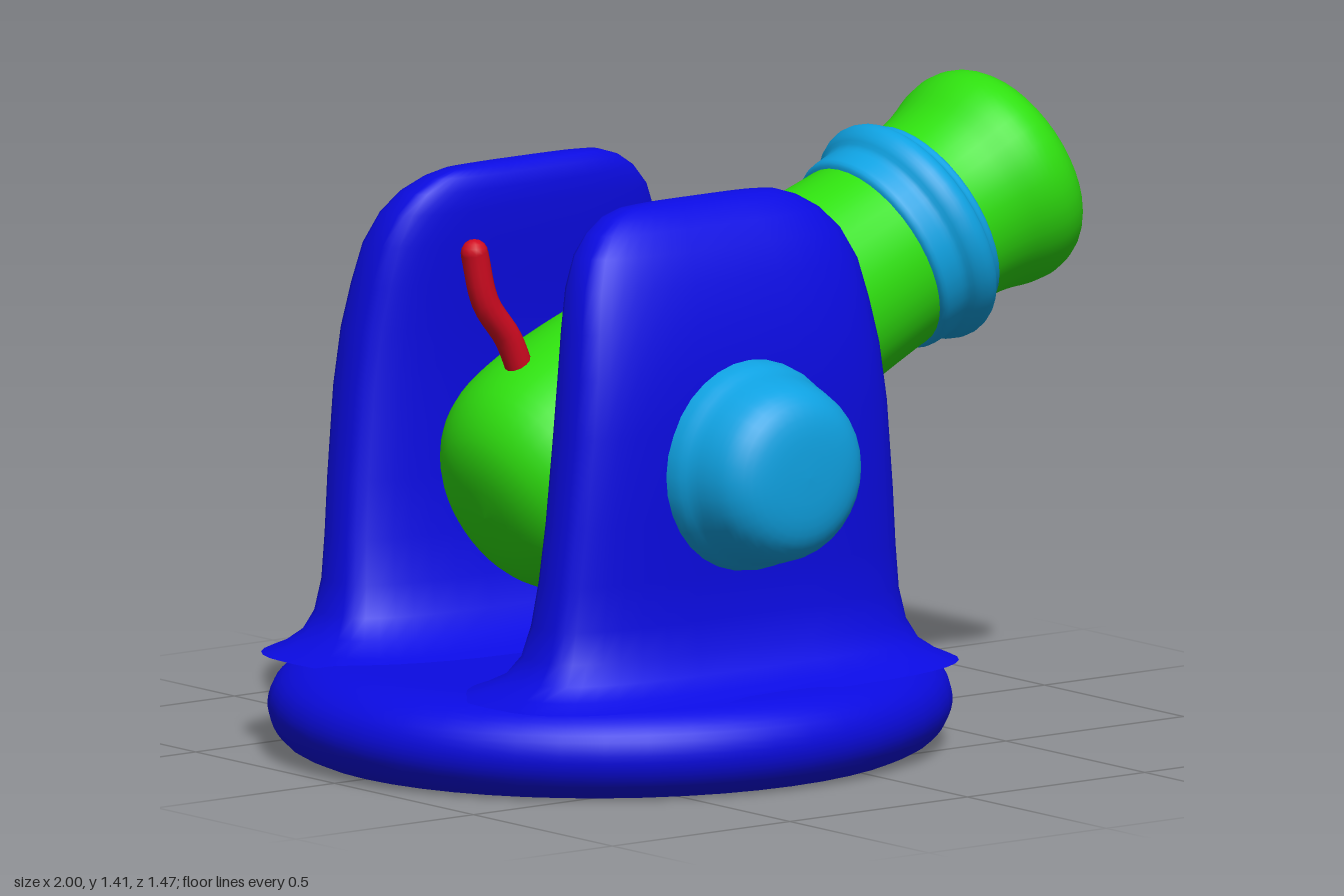
import * as THREE from 'three';

const mat = (name, color, side = THREE.FrontSide) => {
  const m = new THREE.MeshStandardMaterial({ color, side });
  m.name = name;
  return m;
};

// Smooth catmull-rom lathe through [radius, height] points
function lathe(points, segments = 40, samples = 3) {
  const curve = new THREE.SplineCurve(points.map(([r, y]) => new THREE.Vector2(r, y)));
  const profile = curve.getPoints((points.length - 1) * samples);
  profile.forEach(p => { p.x = Math.max(p.x, 0); });
  return new THREE.LatheGeometry(profile, segments);
}

// Stacked rounded-rectangle sections: [y, halfWidth, zInner, zOuter]
function loft(rows, segments = 40, power = 3.2) {
  const pos = [], index = [];
  const soft = v => Math.sign(v) * Math.abs(v) ** (2 / power);
  for (const [y, hw, z0, z1] of rows) {
    for (let i = 0; i < segments; i++) {
      const a = (i / segments) * Math.PI * 2;
      pos.push(hw * soft(Math.cos(a)), y, (z0 + z1) / 2 - ((z1 - z0) / 2) * soft(Math.sin(a)));
    }
  }
  for (let r = 0; r < rows.length - 1; r++) {
    for (let i = 0; i < segments; i++) {
      const a = r * segments + i, b = r * segments + (i + 1) % segments;
      index.push(a, b, b + segments, a, b + segments, a + segments);
    }
  }
  // Top cap
  const [y, , z0, z1] = rows[rows.length - 1];
  const start = (rows.length - 1) * segments, centre = rows.length * segments;
  pos.push(0, y + 0.003, (z0 + z1) / 2);
  for (let i = 0; i < segments; i++) index.push(centre, start + i, start + (i + 1) % segments);
  const geo = new THREE.BufferGeometry();
  geo.setAttribute('position', new THREE.Float32BufferAttribute(pos, 3));
  geo.setIndex(index);
  geo.computeVertexNormals();
  return geo;
}

export function createModel() {
  const blue = mat('mount blue', 0x0b0be2);
  const green = mat('barrel green', 0x2fe00f);
  const cyan = mat('trim cyan', 0x0fa2e2);
  const red = mat('fuse red', 0xd00a20);

  const model = new THREE.Group();
  const add = (parent, name, geo, material) => {
    const mesh = new THREE.Mesh(geo, material);
    mesh.name = name;
    parent.add(mesh);
    return mesh;
  };
  const pivotX = -0.224, pivotY = 0.706;

  // Round base with a soft rim and flat underside
  const base = add(model, 'base', lathe([
    [0.69, 0.003], [0.735, 0.025], [0.766, 0.065], [0.775, 0.11], [0.76, 0.155],
    [0.72, 0.19], [0.66, 0.21], [0.56, 0.217], [0.3, 0.217], [0, 0.217],
  ], 48), blue);
  base.position.x = pivotX;
  base.scale.z = 0.948;
  const underside = add(model, 'baseUnderside', new THREE.CircleGeometry(0.692, 48), blue);
  underside.rotation.x = Math.PI / 2;
  underside.position.set(pivotX, 0.003, 0);
  underside.scale.y = 0.948;

  // Two cheeks flaring into the base, each with a domed hub
  const cheekGeo = loft([
    [0.205, 0.62, 0.06, 0.63], [0.225, 0.575, 0.12, 0.585], [0.255, 0.53, 0.185, 0.545],
    [0.30, 0.502, 0.225, 0.52], [0.37, 0.485, 0.25, 0.505], [0.47, 0.473, 0.268, 0.503],
    [0.60, 0.46, 0.278, 0.508], [0.80, 0.44, 0.28, 0.512], [0.93, 0.423, 0.276, 0.505],
    [1.03, 0.405, 0.268, 0.488], [1.12, 0.385, 0.262, 0.467], [1.19, 0.352, 0.258, 0.438],
    [1.235, 0.31, 0.26, 0.408], [1.265, 0.262, 0.268, 0.375], [1.28, 0.215, 0.283, 0.35],
    [1.285, 0.16, 0.3, 0.33],
  ]);
  const hubGeo = lathe([
    [0.24, 0.47], [0.233, 0.53], [0.217, 0.57], [0.205, 0.62], [0.187, 0.665],
    [0.15, 0.7], [0.09, 0.716], [0, 0.72],
  ], 32);
  for (const [label, turn] of [['front', 0], ['rear', Math.PI]]) {
    const side = new THREE.Group();
    side.name = label + 'Side';
    side.position.x = pivotX;
    side.rotation.y = turn;
    add(side, label + 'Cheek', cheekGeo, blue);
    const hub = add(side, label + 'Hub', hubGeo, cyan);
    hub.rotation.x = Math.PI / 2;
    hub.position.y = pivotY;
    model.add(side);
  }

  // Tilted barrel, its local y running along the bore
  const barrel = new THREE.Group();
  barrel.name = 'barrel';
  barrel.position.set(pivotX, pivotY, 0);
  barrel.rotation.z = THREE.MathUtils.degToRad(23.4 - 90);
  model.add(barrel);
  add(barrel, 'barrelBody', lathe([
    [0, -0.385], [0.1, -0.375], [0.18, -0.345], [0.24, -0.285], [0.272, -0.2],
    [0.284, -0.08], [0.283, 0.06], [0.272, 0.22], [0.255, 0.4], [0.238, 0.58],
    [0.226, 0.76], [0.222, 0.9], [0.222, 0.99], [0.232, 1.06], [0.25, 1.12],
    [0.255, 1.17], [0.242, 1.215], [0.215, 1.245], [0.197, 1.25], [0.18, 1.245],
    [0.171, 1.225], [0.165, 1.1], [0.16, 0.65], [0.12, 0.56], [0, 0.53],
  ]), green);

  // Stepped ring round the barrel
  add(barrel, 'barrelBand', lathe([
    [0.215, 0.795], [0.236, 0.805], [0.239, 0.835], [0.241, 0.865], [0.258, 0.885],
    [0.267, 0.912], [0.26, 0.938], [0.242, 0.952], [0.236, 0.97], [0.215, 0.98],
  ]), cyan);

  // Curved fuse with a rounded tip
  const path = new THREE.CatmullRomCurve3([
    new THREE.Vector3(-0.47, 0.86, 0), new THREE.Vector3(-0.51, 0.95, 0),
    new THREE.Vector3(-0.575, 1.04, 0), new THREE.Vector3(-0.606, 1.155, 0),
  ]);
  add(model, 'fuse', new THREE.TubeGeometry(path, 14, 0.031, 12), red);
  const tip = add(model, 'fuseTip', new THREE.SphereGeometry(0.031, 12, 8), red);
  tip.position.set(-0.606, 1.155, 0);

  return model;
}
